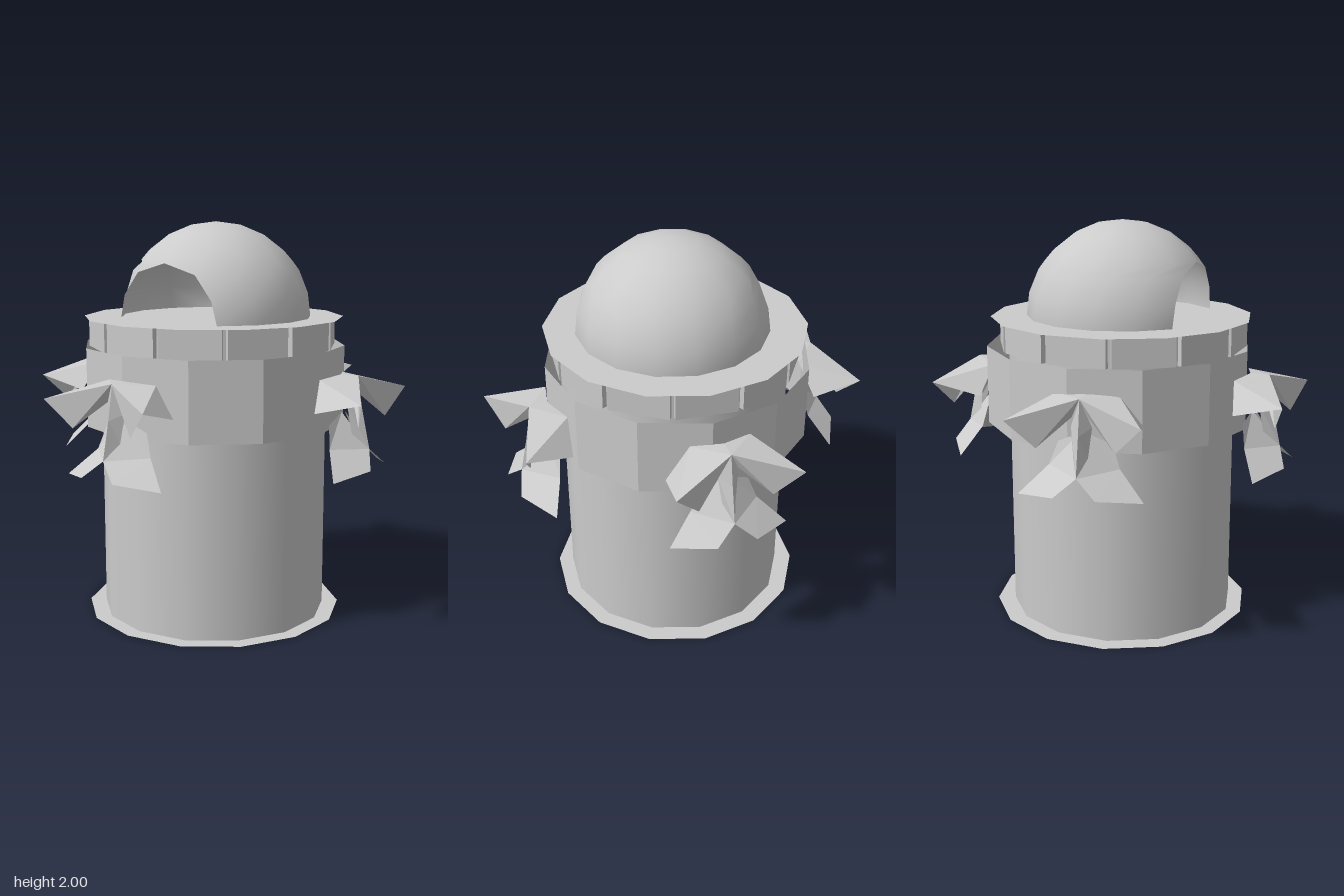
import * as THREE from 'three';

const grey = new THREE.MeshStandardMaterial({ color: 0xcccccc, side: THREE.DoubleSide });
const flat = new THREE.MeshStandardMaterial({ color: 0xcccccc, side: THREE.DoubleSide, flatShading: true });
const rad = THREE.MathUtils.degToRad;

function add(parent, name, geometry, material, x = 0, y = 0, z = 0) {
  const mesh = new THREE.Mesh(geometry, material);
  mesh.name = name;
  mesh.position.set(x, y, z);
  parent.add(mesh);
  return mesh;
}

// Thin faceted sheet from a few corners and faces (triangles or quads)
function sheet(points, faces, mirror = 1) {
  const pos = [];
  for (const f of faces) {
    for (let i = 1; i < f.length - 1; i++) {
      const tri = mirror > 0 ? [f[0], f[i], f[i + 1]] : [f[0], f[i + 1], f[i]];
      for (const k of tri) pos.push(points[k][0] * mirror, points[k][1], points[k][2]);
    }
  }
  const g = new THREE.BufferGeometry();
  g.setAttribute('position', new THREE.Float32BufferAttribute(pos, 3));
  g.computeVertexNormals();
  return g;
}

// Dome: rows of latitude, each starting and ending at the edge of the front opening
function domeGeometry(R, columns) {
  const rows = [[0, 40.5], [15, 37], [30, 26], [37, 0], [45, 0], [60, 0], [75, 0], [90, 0]];
  const pos = [], normals = [], index = [];
  rows.forEach(([elevation, gap], r) => {
    for (let i = 0; i <= columns; i++) {
      const a = rad(gap + (360 - 2 * gap) * i / columns), e = rad(elevation);
      const n = [Math.cos(e) * Math.sin(a), Math.sin(e), Math.cos(e) * Math.cos(a)];
      normals.push(...n);
      pos.push(...n.map(v => v * R));
      if (r < rows.length - 1 && i < columns) {
        const p = r * (columns + 1) + i, q = p + columns + 1;
        index.push(p, p + 1, q + 1, p, q + 1, q);
      }
    }
  });
  const g = new THREE.BufferGeometry();
  g.setAttribute('position', new THREE.Float32BufferAttribute(pos, 3));
  g.setAttribute('normal', new THREE.Float32BufferAttribute(normals, 3));
  g.setIndex(index);
  return g;
}

// Flower ornament, modelled facing +z at its distance from the axis
function makeFlower() {
  const flower = new THREE.Group();
  flower.name = 'flower';
  const wing = [
    [0, 1.27, 0.775], [0.315, 1.185, 0.908], [0.28, 1.12, 0.665],
    [0.15, 1.26, 0.635], [0, 1.27, 0.68], [0.185, 1.05, 0.85], [0.04, 1.18, 0.76],
  ];
  const wingFaces = [[0, 1, 3], [1, 2, 3], [0, 3, 4], [0, 5, 1], [0, 6, 5]];
  const leaf = [
    [0.02, 1.09, 0.70], [0.13, 1.04, 0.68], [0.17, 0.93, 0.70],
    [0.30, 0.80, 0.775], [0.10, 0.83, 0.885], [0, 0.915, 0.84],
  ];
  const leafFaces = [[0, 2, 1], [0, 5, 2], [2, 4, 3], [2, 5, 4]];
  for (const side of [1, -1]) {
    add(flower, 'upperPetal', sheet(wing, wingFaces, side), flat);
    add(flower, 'lowerPetal', sheet(leaf, leafFaces, side), flat);
  }
  // Narrow folded bud in the middle
  const bud = [
    [0, 1.27, 0.77], [-0.05, 1.13, 0.74], [0.05, 1.13, 0.74], [0, 1.10, 0.80],
    [-0.035, 0.99, 0.76], [0.035, 0.99, 0.76], [0, 0.915, 0.84],
  ];
  add(flower, 'bud', sheet(bud, [[0, 1, 3], [0, 3, 2], [1, 4, 6, 3], [3, 6, 5, 2]]), flat);
  return flower;
}

export function createModel() {
  const model = new THREE.Group();
  model.name = 'domedTower';

  // Body and its flat rims
  add(model, 'body', new THREE.CylinderGeometry(0.577, 0.577, 1.52, 14, 1, true), grey, -0.007, 0.76, 0.015);
  for (const [name, y, r] of [['baseRim', 0, 0.66], ['topRim', 1.525, 0.66]]) {
    const disc = new THREE.CircleGeometry(r, 14, Math.PI / 2);
    disc.rotateX(-Math.PI / 2);
    add(model, name, disc, flat, -0.012, y, 0.01);
  }

  // Faceted collar
  add(model, 'collar', new THREE.CylinderGeometry(0.67, 0.67, 0.395, 12, 1, true), flat, -0.02, 1.1875, 0);

  // Band of panels with narrow slits between them
  const band = new THREE.Group();
  band.name = 'panelBand';
  band.position.set(-0.012, 1.4525, 0.015);
  for (let i = 0; i < 12; i++) {
    const a = i * Math.PI / 6;
    const panel = add(band, 'panel', new THREE.BoxGeometry(0.30, 0.145, 0.025), flat,
      Math.sin(a) * 0.598, 0, Math.cos(a) * 0.598);
    panel.rotation.y = a;
  }
  model.add(band);

  // Dome with an arched opening at the front
  add(model, 'dome', domeGeometry(0.485, 12), grey, 0.003, 1.515, 0.008);

  // Four flowers around the collar
  for (const angle of [1, 102, 186, 277]) {
    const flower = makeFlower();
    flower.rotation.y = rad(angle);
    model.add(flower);
  }
  return model;
}
